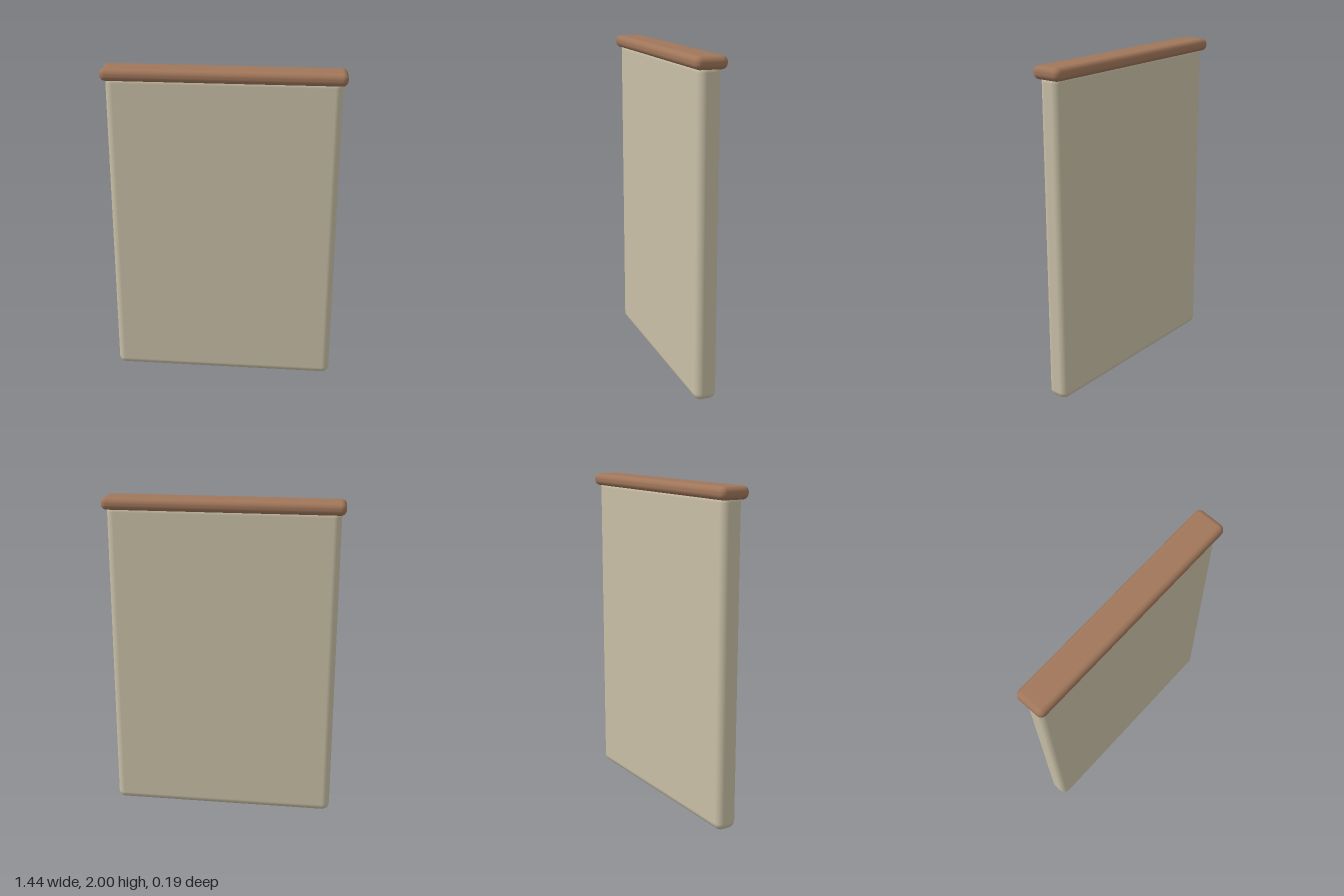
import * as THREE from 'three';
import { RoundedBoxGeometry } from 'three/addons/geometries/RoundedBoxGeometry.js';

// Rounded slab spanning y0..y1, centred on x and z
function slab(name, width, y0, y1, depth, radius, color) {
  const geometry = new RoundedBoxGeometry(width, y1 - y0, depth, 6, radius);
  const mesh = new THREE.Mesh(geometry, new THREE.MeshStandardMaterial({ color }));
  mesh.name = name;
  mesh.position.y = (y0 + y1) / 2;
  return mesh;
}

export function createModel() {
  const model = new THREE.Group();
  model.name = 'wallPanel';

  // Tall plaster panel, its rounded top tucked into the cap
  model.add(slab('panel', 1.39, 0, 1.955, 0.135, 0.045, 0xc8bfa6));

  // Overhanging wooden cap rail
  model.add(slab('capRail', 1.44, 1.925, 2, 0.19, 0.034, 0xa0765a));

  return model;
}
